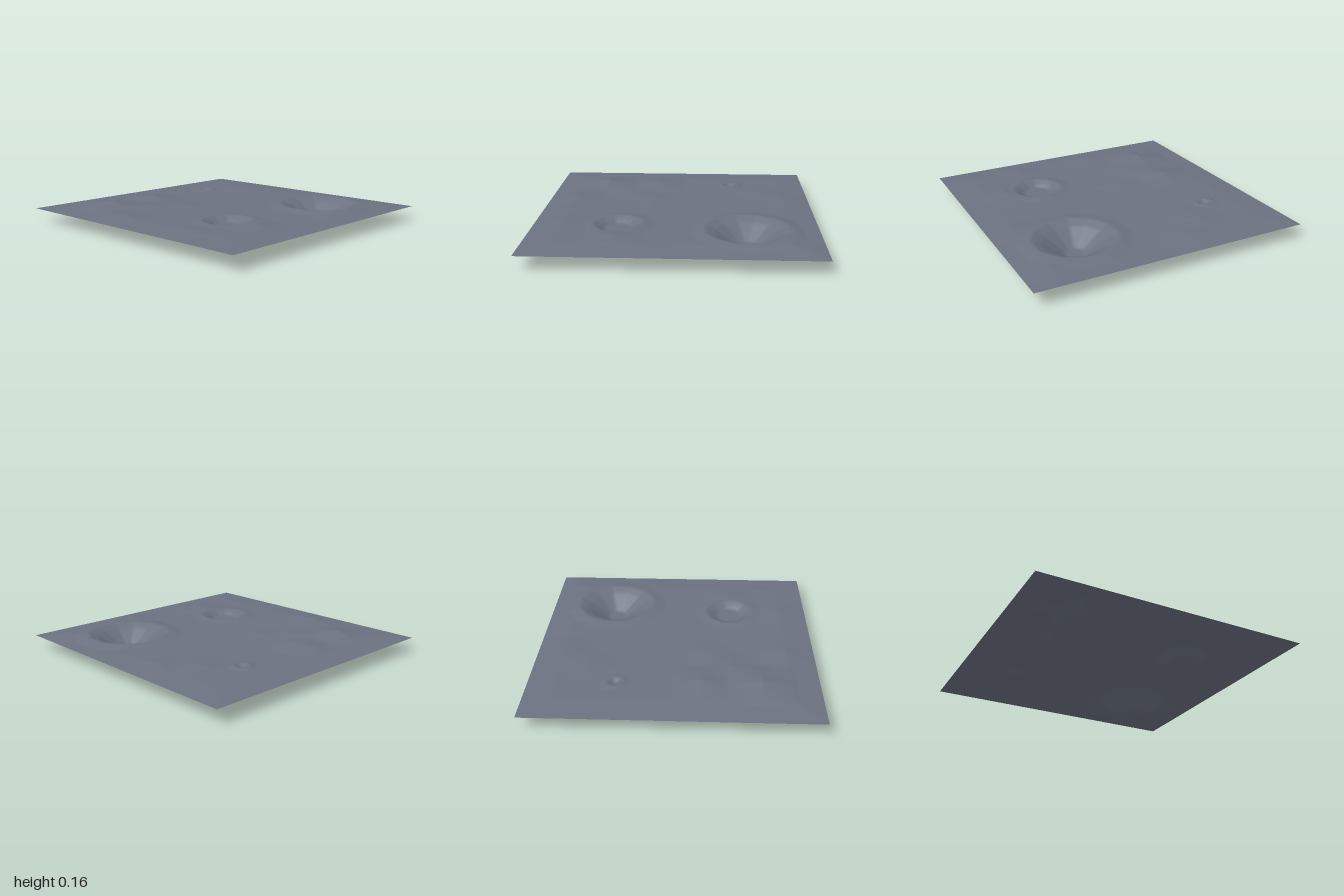
import * as THREE from 'three';

// Round pits: centre, and [radius, height] profile from the middle to the rim
const craters = [
  { x: 0.5, z: 0.5, profile: [[0, 0], [0.07, 0], [0.23, 0.1], [0.3, 0.13]], apron: 0.1 },
  { x: -0.4, z: 0.4, profile: [[0, 0.08], [0.1, 0.08], [0.13, 0.1], [0.18, 0.125]], apron: 0.08 },
  { x: 0.4, z: -0.6, profile: [[0, 0.1], [0.015, 0.1], [0.055, 0.123]], apron: 0.05 },
];

// Low hills: x, z, extra height, reach
const hills = [
  [-0.6, -0.6, 0.042, 0.24], [-0.2, -0.6, 0.032, 0.22], [-0.4, -0.4, 0.015, 0.2],
  [-0.8, -0.2, 0.012, 0.2], [-0.2, -0.2, 0.01, 0.2], [-0.4, 0.64, 0.018, 0.2],
  [-0.8, 0.4, 0.01, 0.2], [0.6, -0.4, 0.012, 0.2], [0.8, 0.8, 0.008, 0.2],
  [0.2, 0.8, 0.008, 0.2], [0.8, -0.2, 0.01, 0.2],
];

const tent = (d, reach) => Math.max(0, 1 - Math.abs(d) / reach);

// Gently rolling ground that falls to a level border
function groundHeight(x, z) {
  const border = Math.min(1, (1 - Math.abs(x)) / 0.2, (1 - Math.abs(z)) / 0.2);
  let y = 0.1 + border * (0.0145 + 0.003 * Math.sin(5 * x + 2 * z) * Math.cos(4 * z - x));
  for (const [hx, hz, h, reach] of hills) y += h * tent(x - hx, reach) * tent(z - hz, reach);
  return y;
}

function along(profile, r) {
  for (let i = 1; i < profile.length; i++) {
    const [r0, y0] = profile[i - 1], [r1, y1] = profile[i];
    if (r <= r1) return y0 + (y1 - y0) * (r - r0) / (r1 - r0);
  }
  return profile[profile.length - 1][1];
}

function surfaceHeight(x, z) {
  const ground = groundHeight(x, z);
  for (const c of craters) {
    const dx = x - c.x, dz = z - c.z;
    // Twelve-sided outline
    const step = Math.PI / 6;
    const a = Math.atan2(dz, dx);
    const local = a - Math.round(a / step) * step;
    const r = Math.hypot(dx, dz) * Math.cos(local) / Math.cos(step / 2);
    const [rim, rimY] = c.profile[c.profile.length - 1];
    if (r <= rim) return along(c.profile, r);
    // Raised lip sinking back to the ground
    if (r < rim + c.apron) return THREE.MathUtils.lerp(rimY, ground, (r - rim) / c.apron);
  }
  return ground;
}

export function createModel() {
  const group = new THREE.Group();
  group.name = 'crateredGround';
  const rock = new THREE.MeshStandardMaterial({ color: 0x6b7280, side: THREE.DoubleSide });
  rock.name = 'greyRock';

  // One continuous sheet shaped by the height rule
  const geometry = new THREE.PlaneGeometry(2, 2, 140, 140).rotateX(-Math.PI / 2);
  const p = geometry.attributes.position;
  for (let i = 0; i < p.count; i++) p.setY(i, surfaceHeight(p.getX(i), p.getZ(i)));
  geometry.computeVertexNormals();

  const ground = new THREE.Mesh(geometry, rock);
  ground.name = 'ground';
  group.add(ground);
  return group;
}
